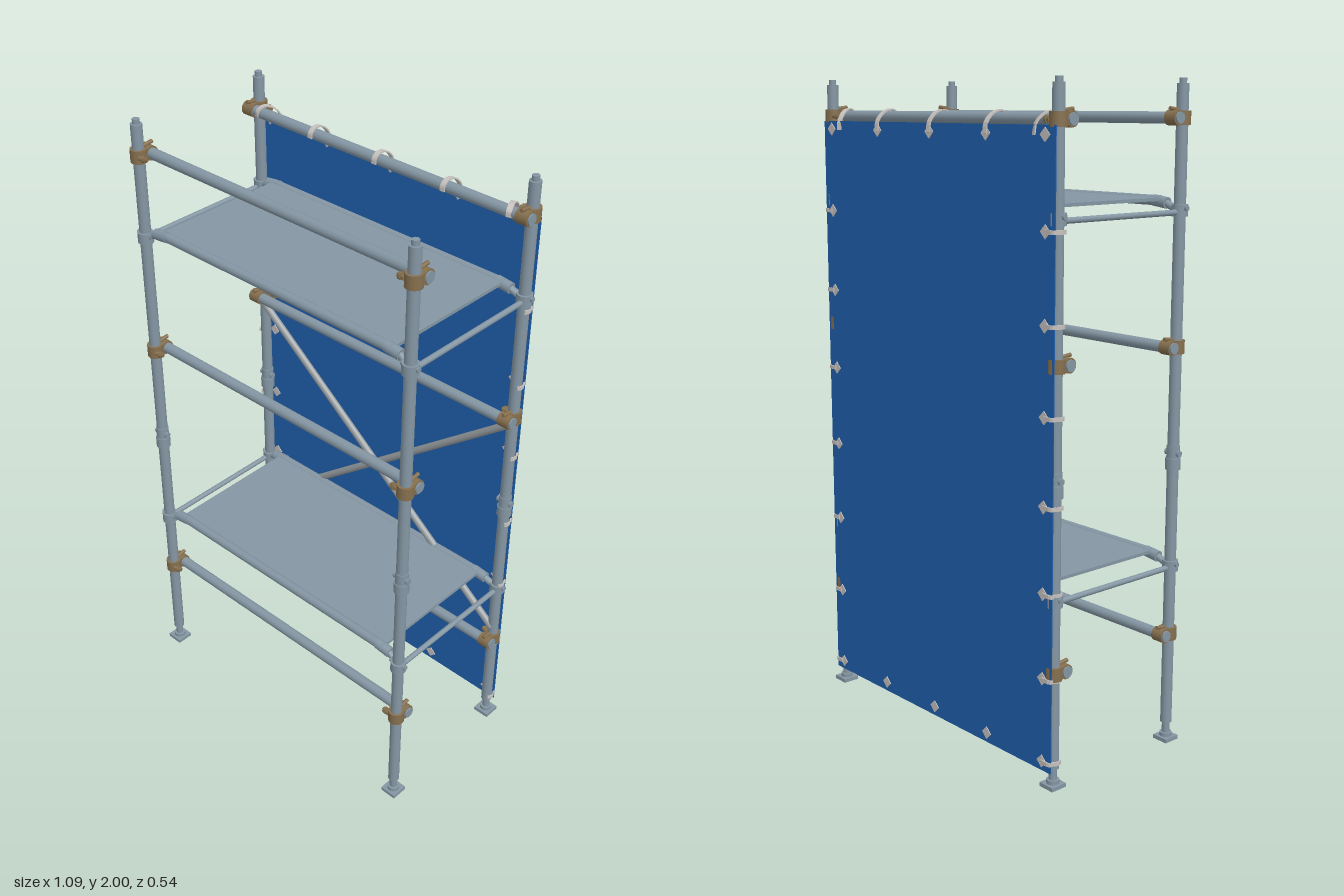
import * as THREE from 'three';

export function createModel() {
  const root = new THREE.Group();
  root.name = 'scaffoldTower';
  const mat = (name, color, side = THREE.FrontSide) => {
    const m = new THREE.MeshStandardMaterial({ color, side });
    m.name = name;
    return m;
  };
  const steel = mat('galvanised steel', 0x8496a3);
  const brace = mat('brace grey', 0x959b9e);
  const brass = mat('coupler bronze', 0x86704f);
  const blue = mat('blue sheet', 0x1f5fae, THREE.DoubleSide);
  const pale = mat('pale ties', 0xc6c1bd);

  const PX = 0.515, PZ = 0.24, RZ = 0.207, SHEET_Z = -0.262;
  const railHeights = [0.35, 1.235, 1.89];
  const deckHeights = [0.59, 1.655];

  const add = (parent, name, geo, material, x = 0, y = 0, z = 0) => {
    const mesh = new THREE.Mesh(geo, material);
    mesh.name = name;
    mesh.position.set(x, y, z);
    parent.add(mesh);
    return mesh;
  };
  const box = (parent, name, size, m, x, y, z) => add(parent, name, new THREE.BoxGeometry(...size), m, x, y, z);
  // Round bar between two points
  const bar = (parent, name, a, b, r, m, sides = 16) => {
    const p = new THREE.Vector3(...a), q = new THREE.Vector3(...b);
    const d = q.clone().sub(p);
    const mesh = add(parent, name, new THREE.CylinderGeometry(r, r, d.length(), sides), m);
    mesh.position.copy(p).add(q).multiplyScalar(0.5);
    mesh.quaternion.setFromUnitVectors(new THREE.Vector3(0, 1, 0), d.normalize());
    return mesh;
  };
  const group = (name) => {
    const g = new THREE.Group();
    g.name = name;
    root.add(g);
    return g;
  };

  // Clamp joining a post to a rail
  const coupler = (sx, sz, y) => {
    const g = group('coupler');
    const x = sx * PX, z = sz * PZ;
    bar(g, 'postClamp', [x, y - 0.02, z], [x, y + 0.02, z], 0.025, brass);
    bar(g, 'railClamp', [x - 0.02, y, sz * RZ], [x + 0.02, y, sz * RZ], 0.022, brass);
    box(g, 'clampBody', [0.04, 0.034, 0.04], brass, x, y, sz * 0.225);
    bar(g, 'railBolt', [x, y + 0.022, sz * 0.222], [x, y + 0.026, sz * 0.188], 0.006, brass, 8);
    bar(g, 'postBolt', [x - sx * 0.018, y, z + sz * 0.014], [x - sx * 0.045, y, z + sz * 0.006], 0.007, brass, 8);
    bar(g, 'boltNut', [x - sx * 0.03, y, z + sz * 0.01], [x - sx * 0.04, y, z + sz * 0.008], 0.011, brass, 6);
  };

  // Corner posts with screw feet, sleeves and deck sockets
  for (const sx of [-1, 1]) for (const sz of [-1, 1]) {
    const g = group('cornerPost');
    const x = sx * PX, z = sz * PZ;
    box(g, 'basePlate', [0.054, 0.012, 0.054], steel, x, 0.006, z);
    bar(g, 'footCollar', [x, 0.012, z], [x, 0.024, z], 0.019, steel);
    bar(g, 'jackStem', [x, 0.02, z], [x, 0.07, z], 0.012, steel);
    bar(g, 'postTube', [x, 0.058, z], [x, 1.985, z], 0.0175, steel, 20);
    bar(g, 'topSpigot', [x, 1.985, z], [x, 2.0, z], 0.011, steel);
    bar(g, 'jointSleeve', [x, 0.865, z], [x, 0.9, z], 0.023, steel);
    bar(g, 'jointCollar', [x, 0.9, z], [x, 0.938, z], 0.02, steel);
    bar(g, 'jointPin', [x - 0.027, 0.915, z], [x + 0.027, 0.915, z], 0.01, steel, 8);
    for (const y of deckHeights) {
      bar(g, 'deckSocket', [x, y - 0.042, z], [x, y - 0.008, z], 0.024, steel);
      bar(g, 'deckSocketPin', [x - 0.03, y - 0.018, z], [x + 0.03, y - 0.018, z], 0.008, steel, 8);
    }
    for (const y of railHeights) coupler(sx, sz, y);
  }

  // Long rails, front and back
  for (const sz of [-1, 1]) for (const y of railHeights)
    bar(root, 'rail', [-0.54, y, sz * RZ], [0.54, y, sz * RZ], 0.017, steel, 20);

  // Decks with side beams, hooks and end transoms
  for (const y of deckHeights) {
    const g = group('deck');
    box(g, 'deckPanel', [0.9, 0.01, 0.464], steel, 0, y + 0.004, 0);
    for (const sz of [-1, 1]) {
      const z = sz * 0.231;
      bar(g, 'deckBeam', [-0.45, y, z], [0.45, y, z], 0.015, steel);
      for (const sx of [-1, 1]) {
        bar(g, 'deckHook', [sx * 0.425, y, z], [sx * 0.475, y - 0.006, z], 0.017, steel);
        bar(g, 'hookTip', [sx * 0.465, y - 0.004, z], [sx * 0.51, y - 0.024, z + sz * 0.005], 0.011, steel, 10);
      }
    }
    for (const sx of [-1, 1])
      bar(g, 'endTransom', [sx * 0.518, y - 0.03, -PZ], [sx * 0.518, y - 0.03, PZ], 0.0085, steel);
  }

  // Crossed diagonal braces on the back frame
  for (const s of [-1, 1])
    bar(root, 'diagonalBrace', [-s * PX, 0.395, -0.236 - s * 0.006], [s * PX, 1.205, -0.236 - s * 0.006], 0.012, brace, 10);

  // Back sheet
  box(root, 'backSheet', [1.06, 1.825, 0.003], blue, 0, 0.9625, SHEET_Z);

  // Diamond patch showing on both faces of the sheet
  const patch = (x, y) => {
    box(root, 'tiePatch', [0.028, 0.028, 0.008], pale, x, y, SHEET_Z).rotation.z = Math.PI / 4;
  };
  // Flat strap made from an outline thickened by t and extruded to width w
  const strap = (pts, t, w) => {
    const c = new THREE.CatmullRomCurve3(pts.map(([a, b]) => new THREE.Vector3(a, b, 0)));
    const outer = [], inner = [];
    for (let i = 0; i <= 16; i++) {
      const p = c.getPoint(i / 16), d = c.getTangent(i / 16);
      outer.push(new THREE.Vector2(p.x - d.y * t, p.y + d.x * t));
      inner.unshift(new THREE.Vector2(p.x + d.y * t, p.y - d.x * t));
    }
    const geo = new THREE.ExtrudeGeometry(new THREE.Shape([...outer, ...inner]), { depth: w, bevelEnabled: false });
    return geo.translate(0, 0, -w / 2);
  };
  // Straps over the top rail; profile runs along (-z, y)
  const topStrap = strap([[0.268, 1.848], [0.262, 1.88], [0.235, 1.906], [0.207, 1.911], [0.189, 1.898], [0.187, 1.882]], 0.002, 0.016);
  topStrap.rotateY(Math.PI / 2);
  for (const x of [-0.46, -0.25, 0, 0.25, 0.46]) {
    const s = add(root, 'topTie', topStrap, pale, x, 0, 0);
    if (Math.abs(x) > 0.3) {
      const a = Math.sign(x) * 0.35;
      s.rotation.y = a;
      s.position.set(x + 0.23 * Math.sin(a), 0, -0.23 * (1 - Math.cos(a)));
    }
    patch(Math.abs(x) > 0.3 ? Math.sign(x) * 0.49 : x, 1.85);
  }
  // Straps round the outside of the back posts
  const arc = [];
  for (let i = 0; i <= 6; i++) {
    const a = -Math.PI / 2 + (i / 6) * Math.PI * 0.75;
    arc.push([0.0215 * Math.cos(a), 0.0215 * Math.sin(a)]);
  }
  const sideStrap = strap([[-0.02, -0.028], [0.012, -0.027], ...arc.slice(2)], 0.002, 0.012);
  sideStrap.rotateX(Math.PI / 2);
  const sideStrapMirror = sideStrap.clone().rotateZ(Math.PI);
  for (let k = 1; k <= 7; k++) {
    const y = 1.85 - k * 0.253;
    for (const sx of [-1, 1]) {
      patch(sx * 0.493, y);
      add(root, 'sideTie', sx > 0 ? sideStrap : sideStrapMirror, pale, sx * PX, y, -PZ);
    }
  }
  // Bottom edge patches
  for (const x of [-0.25, 0, 0.25]) patch(x, 0.08);

  return root;
}
